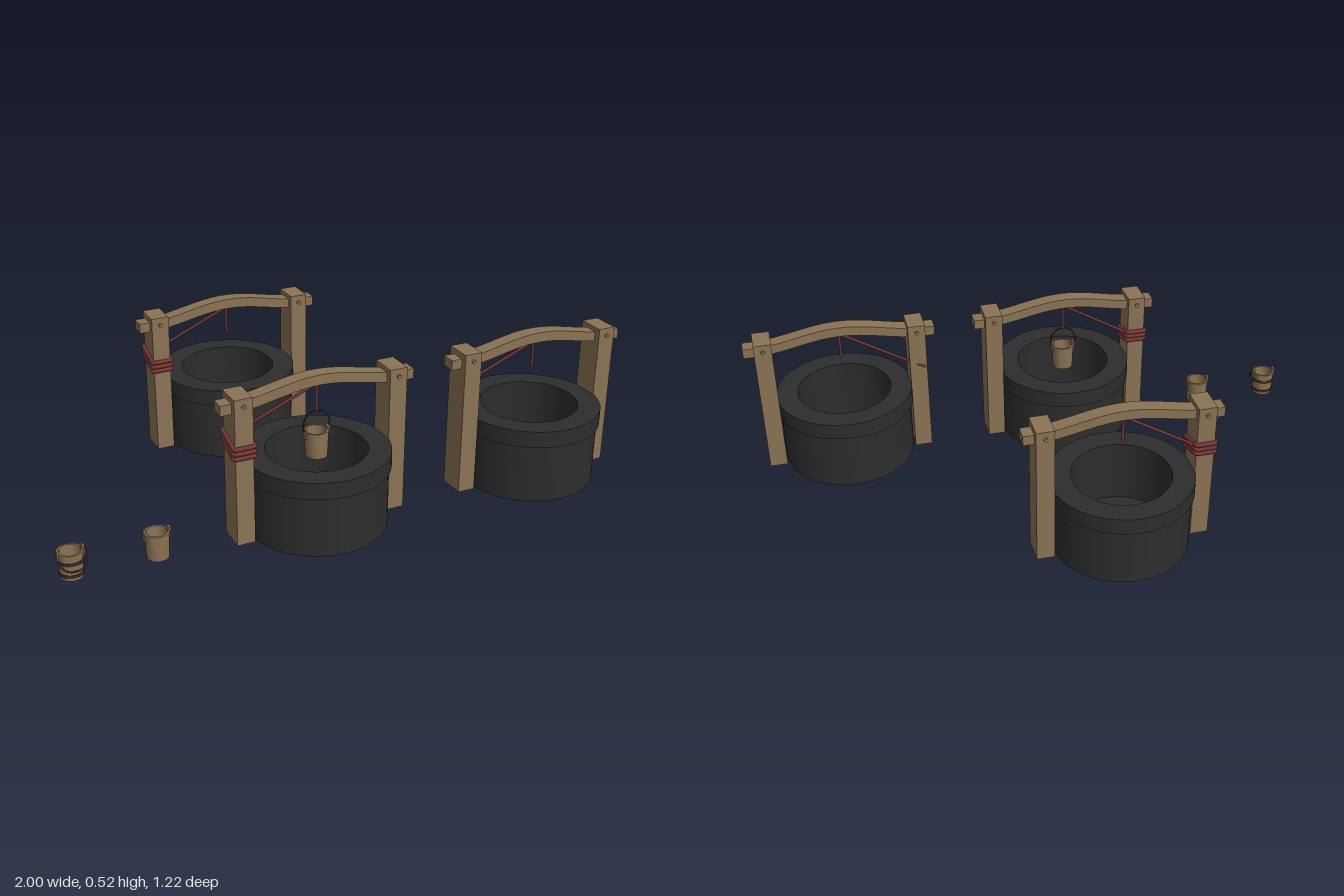
import * as THREE from 'three';
import { toCreasedNormals } from 'three/addons/utils/BufferGeometryUtils.js';

const material = (name, color) => {
  const m = new THREE.MeshStandardMaterial({ color });
  m.name = name;
  return m;
};

export function createModel() {
  const wood = material('wood', 0x8b7355);
  const stone = material('darkStone', 0x2d2d2d);
  const rope = material('redRope', 0x713434);
  const iron = material('darkIron', 0x3d2b25);

  const add = (parent, name, geometry, mat, x = 0, y = 0, z = 0) => {
    const mesh = new THREE.Mesh(geometry, mat);
    mesh.name = name;
    mesh.position.set(x, y, z);
    parent.add(mesh);
    return mesh;
  };
  const lathe = (points, segments) => toCreasedNormals(
    new THREE.LatheGeometry(points.map(([r, y]) => new THREE.Vector2(r, y)), segments), 0.6);
  const tube = (points, radius, segments = 24, closed = false, tension = 0.5) => new THREE.TubeGeometry(
    new THREE.CatmullRomCurve3(points.map(p => new THREE.Vector3(...p)), closed, 'catmullrom', tension),
    segments, radius, 8, closed);

  // Arched crossbeam: flat ends, raised middle
  const beamGeometry = () => {
    const top = x => 0.48 + 0.02 * (1 + Math.cos(Math.PI * Math.min(1, Math.abs(x) / 0.3)));
    const steps = 28, half = 0.332, upper = [], lower = [];
    for (let i = 0; i <= steps; i++) {
      const x = -half + (2 * half * i) / steps;
      upper.push(new THREE.Vector2(x, top(x)));
      lower.push(new THREE.Vector2(x, top(x) - 0.034));
    }
    const shape = new THREE.Shape([...lower, ...upper.reverse()]);
    const g = new THREE.ExtrudeGeometry(shape, { depth: 0.05, bevelEnabled: false });
    g.translate(0, 0, -0.025);
    return toCreasedNormals(g, 0.5);
  };

  // Bucket standing on its own y = 0
  const makeBucket = (name, { handle = null, bands = false }) => {
    const bucket = new THREE.Group();
    bucket.name = name;
    add(bucket, 'bucketBody', lathe([[0, 0], [0.036, 0], [0.04, 0.088], [0.033, 0.088],
      [0.031, 0.012], [0, 0.012]], 24), wood);
    for (const side of [-1, 1]) {
      add(bucket, 'bucketLug', new THREE.BoxGeometry(0.008, 0.032, 0.018), wood, side * 0.039, 0.081, 0);
    }
    if (bands) {
      for (const y of [0.016, 0.058]) {
        const r = 0.0375 + y * 0.045;
        add(bucket, 'bucketBand', lathe([[r - 0.003, y - 0.005], [r + 0.001, y - 0.005],
          [r + 0.001, y + 0.005], [r - 0.003, y + 0.005]], 24), iron);
      }
    }
    if (handle === 'raised') {
      const arc = [];
      for (let i = 0; i <= 16; i++) {
        const a = -0.55 + ((Math.PI + 1.1) * i) / 16;
        arc.push([0.046 * Math.cos(a), 0.109 + 0.046 * Math.sin(a), 0]);
      }
      add(bucket, 'bucketHandle', tube(arc, 0.0025, 40), iron);
    } else if (handle === 'lowered') {
      add(bucket, 'bucketHandle', tube([[-0.046, 0.085, 0], [-0.045, 0.066, 0.022],
        [-0.027, 0.046, 0.044], [0, 0.04, 0.05], [0.027, 0.046, 0.044],
        [0.045, 0.066, 0.022], [0.046, 0.085, 0]], 0.003, 40), iron);
    }
    return bucket;
  };

  const makeWell = (name, { wraps = false, bucket = false }) => {
    const well = new THREE.Group();
    well.name = name;
    // Hollow ring with an overhanging rim and a low floor
    add(well, 'stoneRing', lathe([[0, 0.03], [0.185, 0.03], [0.185, 0], [0.232, 0], [0.232, 0.203],
      [0.24, 0.203], [0.24, 0.26], [0.165, 0.26], [0.165, 0.04], [0, 0.04]], 64), stone);
    // Posts, each pinned to the beam with a peg
    for (const side of [-1, 1]) {
      add(well, 'post', new THREE.BoxGeometry(0.061, 0.5, 0.095), wood, side * 0.265, 0.25, 0);
      const peg = new THREE.CylinderGeometry(0.007, 0.007, 0.11, 12);
      peg.rotateX(Math.PI / 2);
      add(well, 'peg', peg, wood, side * 0.265, 0.474, 0);
    }
    add(well, 'crossbeam', beamGeometry(), wood);
    // Rope from the back of the post, over the beam's middle and down
    add(well, 'slantedRope', tube([[-0.29, 0.333, -0.048], [-0.22, 0.367, -0.037], [0, 0.483, 0]],
      0.005, 20), rope);
    add(well, 'hangingRope', new THREE.CylinderGeometry(0.005, 0.005, 0.094, 8), rope, 0, 0.437, 0);
    // Tilted rope loops around the left-hand post
    if (wraps) {
      for (let i = 0; i < 3; i++) {
        const y = 0.32 + i * 0.016;
        const lo = y - 0.014, hi = y + 0.014;
        add(well, 'ropeWrap', tube([[-0.299, lo, 0.046], [-0.294, lo, 0.052], [-0.236, lo, 0.052],
          [-0.231, lo, 0.046], [-0.231, hi, -0.046], [-0.236, hi, -0.052],
          [-0.294, hi, -0.052], [-0.299, hi, -0.046]], 0.008, 64, true, 0.2), rope);
      }
    }
    if (bucket) {
      const hung = makeBucket('hangingBucket', { handle: 'raised' });
      hung.position.y = 0.235;
      well.add(hung);
    }
    return well;
  };

  const model = new THREE.Group();
  model.name = 'wellsAndBuckets';
  const place = (part, x, z) => {
    part.position.set(x, 0, z);
    model.add(part);
  };
  place(makeWell('wellWithBucket', { wraps: true, bucket: true }), -0.14, 0.37);
  place(makeWell('wellWithRope', { wraps: true }), -0.14, -0.372);
  place(makeWell('plainWell', {}), 0.667, 0.37);
  place(makeBucket('bandedBucket', { handle: 'lowered', bands: true }), -0.95, 0.357);
  place(makeBucket('plainBucket', {}), -0.68, 0.365);
  return model;
}
